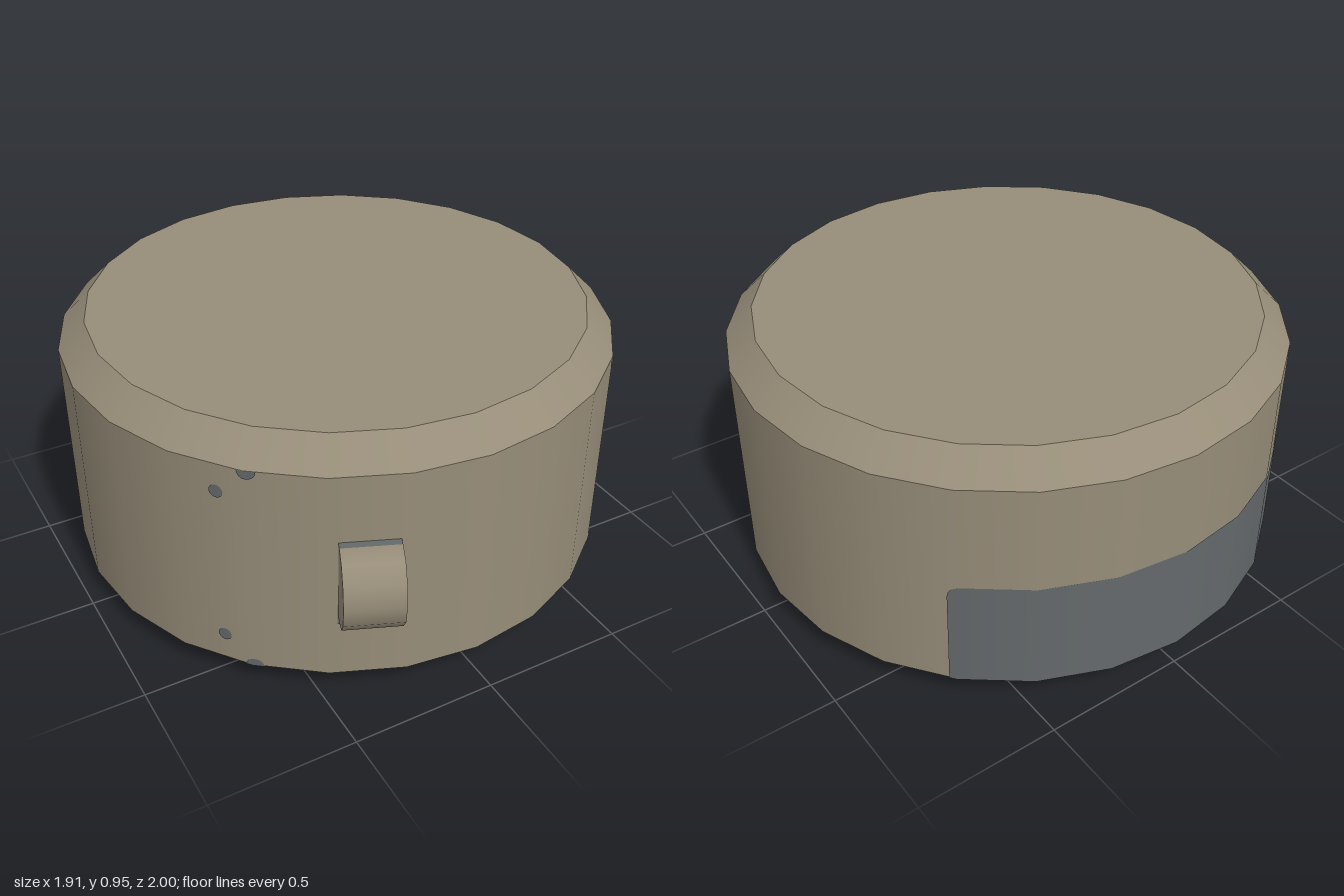
import * as THREE from 'three';

const R = 0.955, RIM = 0.86, H = 0.95, BEVEL = 0.093, SIDES = 24, CENTRE_Z = -0.045;
const rad = THREE.MathUtils.degToRad;

export function createModel() {
  const tan = new THREE.MeshStandardMaterial({ color: 0x978d79 });
  tan.name = 'tan paint';
  const grey = new THREE.MeshStandardMaterial({ color: 0x64696b });
  grey.name = 'grey metal';

  const model = new THREE.Group();
  model.name = 'roundDrum';
  const drum = new THREE.Group();
  drum.name = 'drum';
  drum.position.z = CENTRE_Z;
  model.add(drum);

  const add = (parent, name, geometry, material, x = 0, y = 0, z = 0) => {
    const mesh = new THREE.Mesh(geometry, material);
    mesh.name = name;
    mesh.position.set(x, y, z);
    parent.add(mesh);
    return mesh;
  };
  const ring = (top, bottom, height) => new THREE.CylinderGeometry(top, bottom, height, SIDES, 1, true);

  // Body: bevelled top, straight wall, grey bevelled base
  add(drum, 'wall', ring(R, R, H - 2 * BEVEL), tan, 0, H / 2);
  add(drum, 'topBevel', ring(RIM, R, BEVEL), tan, 0, H - BEVEL / 2);
  add(drum, 'bottomBevel', ring(R, RIM, BEVEL), grey, 0, BEVEL / 2);
  add(drum, 'lid', new THREE.CircleGeometry(RIM, SIDES).rotateX(-Math.PI / 2), tan, 0, H);
  add(drum, 'base', new THREE.CircleGeometry(RIM, SIDES).rotateX(Math.PI / 2), grey);

  // Thin patch following the faceted wall; angles in degrees from the front towards +x
  const wallPatch = (name, angles, low, high) => {
    const geometry = new THREE.PlaneGeometry(1, 1, angles.length - 1, 1);
    const pos = geometry.attributes.position, normal = geometry.attributes.normal;
    for (let i = 0; i < pos.count; i++) {
      const a = angles[i % angles.length];
      const inFacet = ((a % 15) + 15) % 15 - 7.5;
      const r = (R + 0.003) * Math.cos(rad(7.5)) / Math.cos(rad(inFacet));
      const s = Math.sin(rad(a)), c = Math.cos(rad(a));
      pos.setXYZ(i, r * s, i < angles.length ? high(a) : low(a), r * c);
      normal.setXYZ(i, s, 0, c);
    }
    add(drum, name, geometry, grey);
  };
  const spread = (centre, half, n) =>
    Array.from({ length: n + 1 }, (_, i) => centre - half * Math.cos((Math.PI * i) / n));
  const arc = (a, centre, half, r) => r * Math.sqrt(Math.max(0, 1 - ((a - centre) / half) ** 2));

  // Large rear panel with rounded top corners
  const half = 46.5, corner = 2.4;
  const left = [0, 0.2, 0.7, 1.5, corner].map(d => 180 - half + d);
  const facets = [150, 165, 180, 195, 210];
  const right = left.map(a => 360 - a).reverse();
  wallPatch('rearPanel', [...left, ...facets, ...right], () => BEVEL, a => {
    const d = Math.max(0, Math.abs(a - 180) - (half - corner));
    return 0.445 + 0.04 * Math.sqrt(Math.max(0, 1 - (d / corner) ** 2));
  });

  // Mirrored wear spots on the front quarters
  for (const side of [-1, 1]) {
    const dot = side * 50.5, chip = side * 44.4;
    for (const y of [0.195, 0.76]) {
      wallPatch('spot', spread(dot, 1.4, 10),
        a => y - arc(a, dot, 1.4, 0.023), a => y + arc(a, dot, 1.4, 0.023));
    }
    wallPatch('upperChip', spread(chip, 1.8, 8),
      a => H - BEVEL - arc(a, chip, 1.8, 0.028), () => H - BEVEL);
    wallPatch('lowerChip', spread(chip, 1.8, 8),
      () => BEVEL, a => BEVEL + arc(a, chip, 1.8, 0.028));
  }

  // Grey plate below the lug
  wallPatch('lugPlate', [-28.4, -27.6, -18.1, -17.3],
    a => (Math.abs(a + 22.85) > 5 ? 0.305 : 0.295), () => 0.38);

  // Half-round lug on the front right, on a short square foot
  const lug = new THREE.Group();
  lug.name = 'lug';
  lug.position.y = H / 2;
  lug.rotation.y = rad(-22.5);
  drum.add(lug);
  const dome = new THREE.CylinderGeometry(1, 1, 0.19, 6, 1, false, 0, Math.PI);
  dome.applyMatrix4(new THREE.Matrix4().set(
    0, 1, 0, 0,
    0, 0, 0.145, 0,
    0.115, 0, 0, 0,
    0, 0, 0, 1));
  add(lug, 'lugDome', dome, tan, 0, 0, 0.973);
  add(lug, 'lugFoot', new THREE.BoxGeometry(0.19, 0.29, 0.033),
    [tan, tan, grey, grey, tan, tan], 0, 0, 0.9565);

  return model;
}
